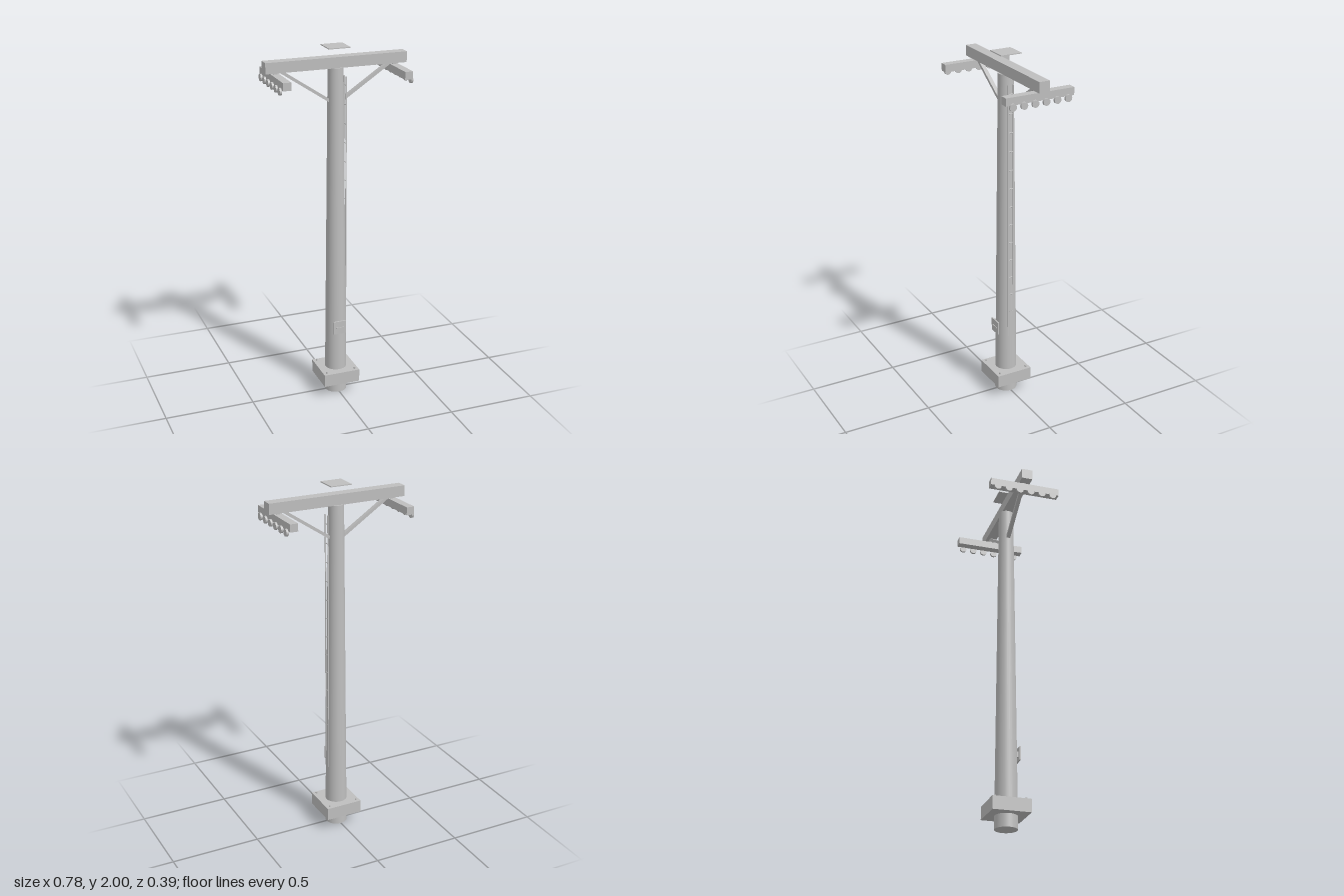
import * as THREE from 'three';

export function createModel() {
  const group = new THREE.Group();
  const grey = new THREE.MeshStandardMaterial({ color: 0xbebebe });
  grey.name = 'concrete grey';

  const add = (name, geometry, x, y, z) => {
    const mesh = new THREE.Mesh(geometry, grey);
    mesh.name = name;
    mesh.position.set(x, y, z);
    group.add(mesh);
    return mesh;
  };
  const box = (name, w, h, d, x, y, z) => add(name, new THREE.BoxGeometry(w, h, d), x, y, z);

  // Tapered pole and its square footing
  add('pole', new THREE.CylinderGeometry(0.042, 0.062, 1.888, 32), 0, 0.944, 0);
  box('footing', 0.21, 0.072, 0.21, 0, 0.108, 0);
  for (const x of [-0.084, 0.084]) {
    for (const z of [-0.084, 0.084]) {
      add('anchorBolt', new THREE.CylinderGeometry(0.005, 0.005, 0.01, 8), x, 0.149, z);
    }
  }

  // Service hatch on the front
  box('hatch', 0.074, 0.076, 0.008, 0, 0.412, 0.067);
  box('hatchMount', 0.03, 0.03, 0.01, 0, 0.412, 0.059);
  box('hatchHandle', 0.046, 0.006, 0.004, 0, 0.412, 0.073);

  // Crossarm and thin cap plate above it
  box('crossarm', 0.784, 0.058, 0.06, 0, 1.916, 0);
  box('capPlate', 0.12, 0.005, 0.12, 0, 1.9975, 0);

  for (const side of [-1, 1]) {
    // Diagonal brace from the pole to the crossarm
    const from = new THREE.Vector2(side * 0.035, 1.71);
    const to = new THREE.Vector2(side * 0.305, 1.89);
    const brace = box('brace', from.distanceTo(to), 0.016, 0.022,
      (from.x + to.x) / 2, (from.y + to.y) / 2, 0);
    brace.rotation.z = Math.atan2(to.y - from.y, to.x - from.x);

    // Lamp bar hung under the crossarm, with six round lamps facing outward
    box('lampBar', 0.044, 0.042, 0.392, side * 0.332, 1.856, 0);
    box('barHanger', 0.02, 0.014, 0.02, side * 0.332, 1.882, 0);
    for (let i = 0; i < 6; i++) {
      const lamp = add('lamp', new THREE.CylinderGeometry(0.0195, 0.0195, 0.012, 20),
        side * 0.359, 1.826, (i - 2.5) * 0.0635);
      lamp.rotation.z = Math.PI / 2;
    }
  }

  // Ladder up the left side of the pole
  for (const z of [-0.015, 0.015]) {
    box('ladderRail', 0.006, 1.475, 0.005, 0.0545, 1.0975, z);
  }
  for (let i = 0; i < 14; i++) {
    const rung = add('ladderRung', new THREE.CylinderGeometry(0.0025, 0.0025, 0.03, 8),
      0.054, 0.412 + i * 0.1057, 0);
    rung.rotation.x = Math.PI / 2;
  }

  return group;
}
